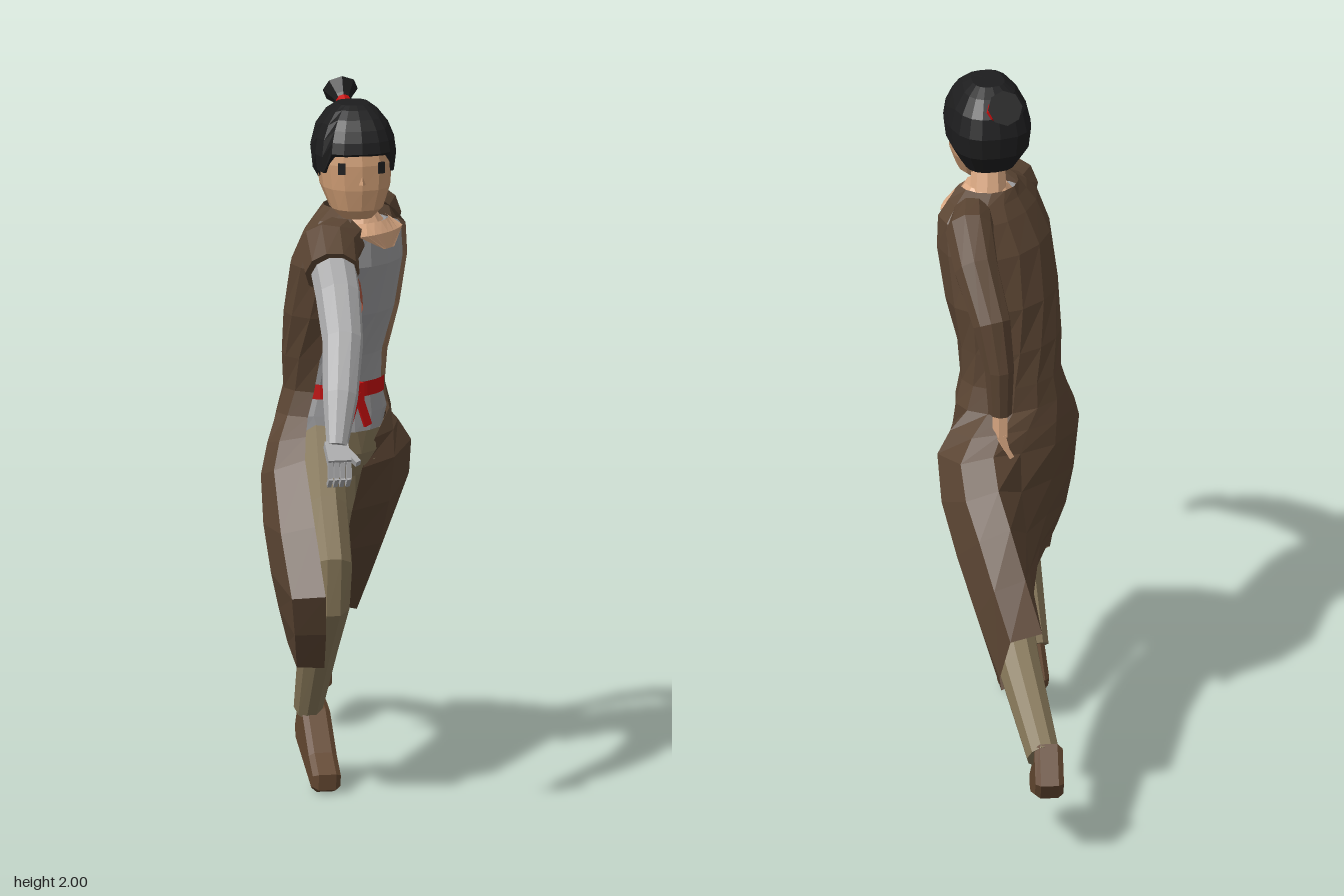
import * as THREE from 'three';

const mat = (name, color, extra = {}) =>
  Object.assign(new THREE.MeshStandardMaterial({ color, flatShading: true, ...extra }), { name });
const V = (x, y, z) => new THREE.Vector3(x, y, z);
const RAD = Math.PI / 180;
const boxy = (t, e) => Math.sign(t) * Math.abs(t) ** e;

// Skin a list of point rows; closed rows wrap round and get end caps.
function loft(rows, closed = true) {
  const pos = [];
  const tri = (a, b, c) => pos.push(...a.toArray(), ...b.toArray(), ...c.toArray());
  const n = rows[0].length, last = rows.length - 1;
  for (let r = 0; r < last; r++)
    for (let i = 0; i < (closed ? n : n - 1); i++) {
      const j = (i + 1) % n;
      tri(rows[r][i], rows[r][j], rows[r + 1][j]);
      tri(rows[r][i], rows[r + 1][j], rows[r + 1][i]);
    }
  if (closed) for (const r of [0, last]) {
    const mid = V(0, 0, 0);
    rows[r].forEach(p => mid.addScaledVector(p, 1 / n));
    for (let i = 0; i < n; i++) {
      const a = rows[r][i], b = rows[r][(i + 1) % n];
      if (r === 0) tri(mid, b, a); else tri(mid, a, b);
    }
  }
  const g = new THREE.BufferGeometry();
  g.setAttribute('position', new THREE.Float32BufferAttribute(pos, 3));
  g.computeVertexNormals();
  return g;
}

// Limb rings along a path of [x, y, z, radius]; sx flattens the limb sideways.
function limbRows(path, n = 10, sx = 1, a0 = 0, a1 = 360, grow = 0) {
  const pts = path.map(p => V(p[0], p[1], p[2]));
  const full = a1 - a0 === 360;
  return pts.map((p, i) => {
    const d = pts[Math.min(i + 1, pts.length - 1)].clone().sub(pts[Math.max(i - 1, 0)]).normalize();
    const u = V(1, 0, 0).addScaledVector(d, -d.x).normalize(), v = d.clone().cross(u);
    return Array.from({ length: n }, (_, k) => {
      const a = (a0 + (a1 - a0) * k / (full ? n : n - 1)) * RAD, r = path[i][3] + grow;
      return p.clone().addScaledVector(u, Math.cos(a) * r * sx).addScaledVector(v, Math.sin(a) * r);
    });
  });
}

// Turned oval cross-section [y, cx, cz, halfWidth, halfDepth, yaw, squareness]; angle 0 is the front.
function oval([y, cx, cz, w, d, yaw = 0, e = 1], n, a0 = 0, a1 = 360, grow = 0) {
  const c = Math.cos(yaw * RAD), s = Math.sin(yaw * RAD), full = a1 - a0 === 360;
  return Array.from({ length: n }, (_, k) => {
    const a = (a0 + (a1 - a0) * k / (full ? n : n - 1)) * RAD;
    const u = boxy(Math.sin(a), e) * (w + grow), f = boxy(Math.cos(a), e) * (d + grow);
    return V(cx + u * c + f * s, y, cz - u * s + f * c);
  });
}

export function createModel() {
  const M = {
    coat: mat('coat brown', 0x5b4533, { side: THREE.DoubleSide }),
    shirt: mat('shirt grey', 0x9b9b9d),
    metal: mat('arm grey', 0xaaaaab),
    trousers: mat('trouser khaki', 0x857658),
    boot: mat('boot brown', 0x644831),
    face: mat('face tan', 0xcb9a72),
    skin: mat('skin', 0xdcaa84, { side: THREE.DoubleSide }),
    hair: mat('hair black', 0x1d1d1e),
    red: mat('red cloth', 0xc40f0f, { side: THREE.DoubleSide }),
    patch: mat('rust patch', 0xa2523d, { side: THREE.DoubleSide }),
  };
  const model = new THREE.Group();
  const add = (name, geo, m, parent = model) => {
    const mesh = new THREE.Mesh(geo, m);
    mesh.name = name;
    parent.add(mesh);
    return mesh;
  };
  const box = (w, h, d) => new THREE.BoxGeometry(w, h, d);

  // Torso, listed upward, twisting to its left from waist to chest
  const torso = [
    [1.05, -0.005, 0.032, 0.16, 0.115, 20], [1.12, -0.004, 0.036, 0.14, 0.108, 22], [1.22, -0.006, 0.056, 0.15, 0.112, 30],
    [1.35, 0.006, 0.092, 0.174, 0.13, 40], [1.5, 0.018, 0.138, 0.184, 0.135, 45], [1.59, 0.03, 0.155, 0.17, 0.11, 45],
  ];
  add('shirt', loft([[1.0, -0.003, 0.042, 0.14, 0.112, 20], ...torso, [1.615, 0.03, 0.16, 0.1, 0.085, 45]]
    .map(r => oval(r, 16))), M.shirt);
  // Bare skin in the open neckline
  add('neckline', loft([[[1.545, 0.024, 0.147, 0.177, 0.1235, 45], 8], [[1.59, 0.03, 0.155, 0.17, 0.11, 45], 38],
    [[1.62, 0.03, 0.16, 0.1, 0.085, 45], 62]].map(([r, a]) => oval(r, 9, -a, a, 0.006)), false), M.skin);
  add('collarbone', loft([[1.6, 0.03, 0.165, 0.1, 0.09, 45], [1.645, 0.03, 0.17, 0.055, 0.06, 45]]
    .map(r => oval(r, 10))), M.skin);
  add('neck', loft(limbRows([[0.03, 1.6, 0.15, 0.055], [0.02, 1.74, 0.18, 0.046]])), M.skin);

  // Coat: skirt columns run from hem to waist, left front edge round the back to the right
  const hem = [[.065, .39, -.42], [.155, .365, -.45], [.185, .45, -.54], [.17, .59, -.6], [.075, .6, -.59], [.045, .57, -.37],
    [-.03, .54, -.11], [-.14, .49, .15], [-.18, .43, .26], [-.17, .375, .345], [-.095, .375, .365]];
  const mid = [[.06, .6, -.14], [.16, .62, -.13], [.23, .7, -.25], [.2, .8, -.38], [.11, .83, -.38], [.03, .75, -.26],
    [-.08, .7, -.07], [-.185, .64, .11], [-.235, .64, .3], [-.21, .6, .48], [-.12, .61, .515]];
  const upper = [[.07, .88, .07], [.17, .9, .03], [.235, .93, -.06], [.2, .95, -.18], [.11, .97, -.2], [.02, .95, -.16],
    [-.1, .93, -.09], [-.19, .91, .02], [-.235, .89, .15], [-.215, .92, .24], [-.13, .95, .26]];
  const coatRow = r => oval(r, 11, 50, 310, 0.014);
  const waist = coatRow(torso[0]);
  const columns = waist.map((w, i) =>
    new THREE.CatmullRomCurve3([V(...hem[i]), V(...mid[i]), V(...upper[i]), w]).getPoints(6));
  const skirt = Array.from({ length: 7 }, (_, r) => columns.map(c => c[r]));
  add('coat', loft([...skirt, ...[...torso.slice(1), [1.63, 0.03, 0.155, 0.13, 0.085, 45],
    [1.66, 0.03, 0.155, 0.075, 0.072, 45]].map(coatRow)], false), M.coat);

  // Sash with knot and two hanging ends
  add('sash', loft([1.1, 1.142].map(y => oval([y, -0.004, 0.037, 0.143, 0.112, 22], 9, -58, 58, 0.006)), false), M.red);
  const knot = new THREE.Group();
  knot.name = 'sashKnot';
  knot.position.set(0.036, 1.118, 0.152);
  knot.rotation.y = 22 * RAD;
  model.add(knot);
  add('knot', box(0.042, 0.05, 0.024), M.red, knot);
  for (const s of [-1, 1]) {
    const end = add('sashEnd', box(0.024, 0.1, 0.009), M.red, knot);
    end.position.set(s * 0.018, -0.052, 0.008);
    end.rotation.z = s * 0.35;
  }

  // Trousers
  add('hips', loft([[0.86, 0.01, 0.03, 0.07, 0.06, 30], [0.93, 0.01, 0.025, 0.125, 0.1, 30], [1.06, 0.0, 0.03, 0.135, 0.1, 20]]
    .map(r => oval(r, 12))), M.trousers);
  add('rightTrouserLeg', loft(limbRows([[-.055, .97, .07, .1], [-.073, .79, .24, .1], [-.078, .66, .35, .093],
    [-.08, .57, .345, .09], [-.088, .44, .25, .083], [-.09, .21, .095, .058]], 10, 0.7)), M.trousers);
  add('leftTrouserLeg', loft(limbRows([[.08, .96, -.02, .1], [.11, .78, -.17, .1], [.12, .6, -.34, .085],
    [.12, .47, -.51, .072], [.115, .3, -.75, .056]], 10, 0.85)), M.trousers);

  // Boots: side outlines in z, y pushed sideways, then turned about their middle
  const boot = (name, outline, x, z, width, yaw) => {
    const g = new THREE.ExtrudeGeometry(new THREE.Shape(outline.map(p => new THREE.Vector2(p[0] - z, p[1]))), {
      depth: width - 0.03, bevelThickness: 0.015, bevelSize: 0.012, bevelOffset: -0.012, bevelSegments: 1 });
    g.rotateY(-Math.PI / 2).translate(width / 2 - 0.015, 0, 0).rotateY(yaw).translate(x, 0, z);
    add(name, g, M.boot);
  };
  boot('rightBoot', [[.07, .235], [.012, .14], [.03, .1], [.27, 0], [.3, .01], [.305, .055], [.24, .105], [.14, .21]],
    -0.074, 0.15, 0.08, 0);
  boot('leftBoot', [[-.78, .35], [-.845, .25], [-.81, .195], [-.62, .11], [-.565, .115], [-.57, .165], [-.66, .24], [-.69, .28]],
    0.092, -0.7, 0.08, -0.2);

  // Arms
  add('leftSleeve', loft(limbRows([[.1, 1.59, .06, .07], [.13, 1.59, -.02, .08], [.135, 1.52, -.11, .074],
    [.12, 1.4, -.22, .064], [.105, 1.27, -.245, .05], [.1, 1.13, -.235, .04]], 10, 0.85)), M.coat);
  add('rightSleeve', loft(limbRows([[-.02, 1.57, .23, .075], [-.07, 1.56, .3, .084], [-.076, 1.51, .385, .077]])), M.coat);
  const metalArm = [[-.068, 1.53, .34, .066], [-.075, 1.455, .47, .064], [-.085, 1.355, .585, .058],
    [-.112, 1.22, .69, .05], [-.137, 1.095, .77, .03]];
  add('rightArm', loft(limbRows(metalArm)), M.metal);
  const along = (a, b, t) => a.map((v, i) => v + (b[i] - v) * t);
  add('armPatch', loft(limbRows([along(metalArm[0], metalArm[1], 0.72), metalArm[1], along(metalArm[1], metalArm[2], 0.24)],
    5, 1, -30, 35, 0.004), false), M.patch);

  // Hands hang down their own -y; the fingers curl towards +z or, if curl is negative, -z
  const hand = (name, m, p, rot, curl, s) => {
    const h = new THREE.Group();
    h.name = name;
    h.position.set(...p);
    h.rotation.set(...rot);
    add('palm', box(0.066, 0.075, 0.026), m, h).position.y = -0.035;
    for (let i = 0; i < 4; i++) {
      const finger = new THREE.Group();
      finger.name = 'finger';
      finger.position.set((i - 1.5) * 0.0175, -0.07, 0);
      finger.rotation.x = -curl;
      add('fingerBase', box(0.014, 0.045, 0.016), m, finger).position.y = -0.02;
      const tip = add('fingerTip', box(0.012, 0.04, 0.014), m, finger);
      tip.position.set(0, -0.054, Math.sin(curl) * 0.013);
      tip.rotation.x = -curl;
      h.add(finger);
    }
    const thumb = add('thumb', box(0.017, 0.055, 0.018), m, h);
    thumb.position.set(s * 0.043, -0.04, Math.sign(curl) * 0.012);
    thumb.rotation.z = s * 0.5;
    model.add(h);
  };
  hand('leftHand', M.skin, [.1, 1.135, -.235], [0, -Math.PI / 2, 0], 0.25, 1);
  hand('rightHand', M.metal, [-.14, 1.1, .765], [-0.95, 0, 0], -0.9, 1);

  // Head
  add('head', loft([[1.642, .02, .25, .045, .045], [1.67, .02, .24, .074, .08], [1.73, .02, .22, .097, .112],
    [1.8, .02, .204, .105, .129], [1.87, .02, .2, .098, .118]].map(r => oval([...r, 0, 0.85], 14))), M.face);
  add('nose', new THREE.ConeGeometry(0.01, 0.035, 4), M.face).position.set(0.02, 1.765, 0.33);
  for (const s of [-1, 1]) {
    const eye = add('eye', box(0.02, 0.032, 0.008), M.hair);
    eye.position.set(0.02 + s * 0.056, 1.793, 0.319);
    eye.rotation.y = s * 0.34;
  }

  // Hair cap: rim high over the brow, low at the nape
  const rim = a => (a < 55 ? 1.835 : a < 85 ? 1.775 : 1.705);
  const hairRows = [0, 0.25, 0.5, 0.72, 0.9, 0.985].map(t => Array.from({ length: 18 }, (_, k) => {
    const deg = k * 20, a = deg * RAD, low = rim(Math.min(deg, 360 - deg));
    const y = low + (1.96 - low) * t, r = Math.sqrt(1 - ((y - 1.82) / 0.148) ** 2);
    return V(0.02 + boxy(Math.sin(a), 0.75) * 0.117 * r, y, 0.195 + boxy(Math.cos(a), 0.75) * 0.143 * r);
  }));
  add('hair', loft(hairRows), M.hair);
  add('hairTie', loft(limbRows([[.02, 1.895, .1, .036], [.02, 1.935, .045, .02]], 8)), M.red);
  add('hairTuft', loft(limbRows([[.02, 1.925, .055, .018], [.02, 1.936, .035, .026], [.02, 1.955, .004, .05]], 8)), M.hair);

  return model;
}
